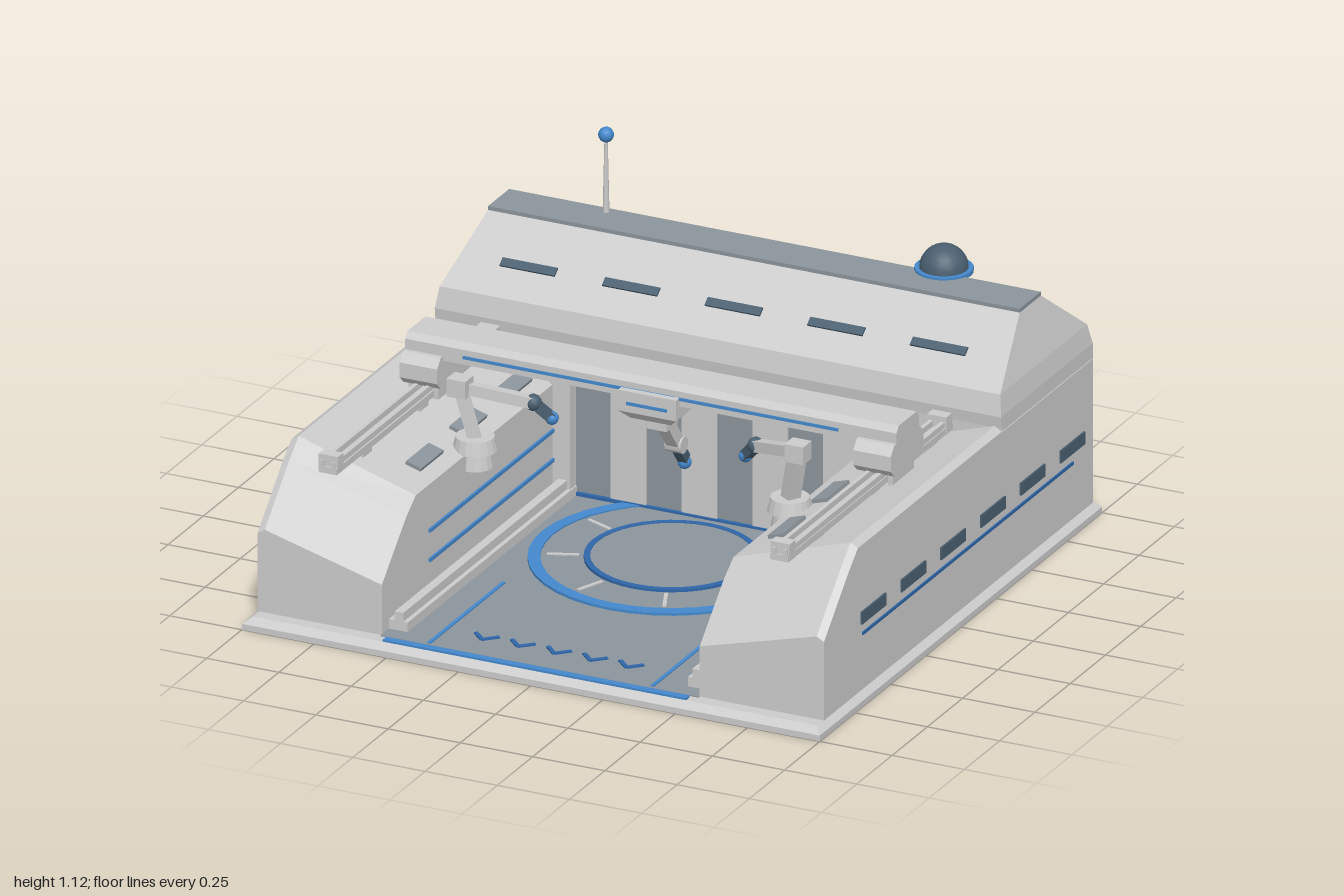
import * as THREE from 'three';

const mat = (color, extra = {}) => new THREE.MeshStandardMaterial({ color, ...extra });
const GREY = mat(0xcccccc, { flatShading: true });
const SMOOTH = mat(0xcccccc);
const FLOOR = mat(0x8c959c);
const DARK = mat(0x4a5f70);
const BLUE = mat(0x4488cc);
const NAVY = mat(0x2f66a8);

export function createModel() {
  const root = new THREE.Group();

  function add(name, geometry, material, x = 0, y = 0, z = 0, parent = root) {
    const mesh = new THREE.Mesh(geometry, material);
    mesh.name = name;
    mesh.position.set(x, y, z);
    parent.add(mesh);
    return mesh;
  }
  // Box given by its min and max on each axis
  function box(name, material, x0, x1, y0, y1, z0, z1, parent = root) {
    return add(name, new THREE.BoxGeometry(Math.abs(x1 - x0), y1 - y0, z1 - z0), material,
      (x0 + x1) / 2, (y0 + y1) / 2, (z0 + z1) / 2, parent);
  }
  // Faceted solid through matching cross-sections, capped at both ends
  function loft(name, rings, material = GREY) {
    const pos = [];
    const tri = (...pts) => pts.forEach((p) => pos.push(...p));
    const n = rings[0].length;
    for (let i = 0; i < rings.length - 1; i++) {
      for (let j = 0; j < n; j++) {
        const k = (j + 1) % n;
        tri(rings[i][j], rings[i][k], rings[i + 1][k]);
        tri(rings[i][j], rings[i + 1][k], rings[i + 1][j]);
      }
    }
    const first = rings[0], last = rings[rings.length - 1];
    for (let j = 1; j < n - 1; j++) {
      tri(first[0], first[j + 1], first[j]);
      tri(last[0], last[j], last[j + 1]);
    }
    const g = new THREE.BufferGeometry();
    g.setAttribute('position', new THREE.Float32BufferAttribute(pos, 3));
    g.computeVertexNormals();
    return add(name, g, material);
  }
  // Horizontal rectangle used as a loft section
  const rect = (y, x, zf, zb) => [[x, y, zf], [x, y, zb], [-x, y, zb], [-x, y, zf]];
  // Square bar between two points
  function link(name, a, b, w, material, parent = root) {
    const p = new THREE.Vector3(...a), q = new THREE.Vector3(...b);
    const mesh = add(name, new THREE.BoxGeometry(w, w, p.distanceTo(q)), material, 0, 0, 0, parent);
    mesh.position.copy(p).lerp(q, 0.5);
    mesh.lookAt(q);
    return mesh;
  }
  // Flat ring lying on the floor
  function floorRing(name, inner, outer, y0, y1, material) {
    const s = new THREE.Shape().absarc(0, 0, outer, 0, Math.PI * 2);
    if (inner) s.holes.push(new THREE.Path().absarc(0, 0, inner, 0, Math.PI * 2, true));
    const g = new THREE.ExtrudeGeometry(s, { depth: y1 - y0, bevelEnabled: false, curveSegments: 20 });
    return add(name, g.rotateX(-Math.PI / 2), material, 0, y0, 0);
  }

  // Base slab and bay floor
  loft('baseSlab', [rect(0, 1, 1, -1), rect(0.02, 1, 1, -1), rect(0.04, 0.975, 0.975, -0.985)]);
  box('bayFloor', FLOOR, -0.55, 0.55, 0.03, 0.043, -0.33, 0.94);
  box('thresholdStrip', BLUE, -0.525, 0.525, 0.03, 0.047, 0.95, 0.975);

  // Turntable with coloured rings and radial marks
  floorRing('turntableBed', 0, 0.41, 0.04, 0.047, FLOOR);
  floorRing('outerRing', 0.41, 0.45, 0.04, 0.052, BLUE);
  floorRing('innerRing', 0.255, 0.275, 0.04, 0.056, NAVY);
  floorRing('turntable', 0, 0.255, 0.04, 0.054, FLOOR);
  for (let i = 0; i < 8; i++) {
    const a = Math.PI / 8 + i * Math.PI / 4;
    if (Math.sin(a) * 0.34 < -0.3) continue;
    add('radialMark', new THREE.BoxGeometry(0.1, 0.006, 0.012), SMOOTH,
      Math.cos(a) * 0.34, 0.048, Math.sin(a) * 0.34).rotation.y = -a;
  }
  // Approach chevrons
  for (let i = -2; i <= 2; i++) {
    for (const s of [-1, 1]) {
      add('chevron', new THREE.BoxGeometry(0.058, 0.006, 0.014), NAVY,
        i * 0.125 + s * 0.02, 0.045, 0.815).rotation.y = s * 0.78;
    }
  }

  // Rear hall with sloped roof
  loft('rearHall', [rect(0.04, 0.98, -0.33, -0.975), rect(0.54, 0.98, -0.33, -0.975),
    rect(0.58, 0.98, -0.325, -0.975), rect(0.65, 0.97, -0.34, -0.955), rect(0.825, 0.92, -0.58, -0.73)]);
  box('roofCap', FLOOR, -0.92, 0.92, 0.815, 0.838, -0.73, -0.58);
  box('hallSeam', GREY, -0.983, 0.983, 0.52, 0.53, -0.965, -0.33);
  for (const x of [-0.71, -0.355, 0, 0.355, 0.71]) {
    add('roofWindow', new THREE.BoxGeometry(0.19, 0.012, 0.03), DARK, x, 0.724, -0.44).rotation.x = 0.63;
  }

  // Shutter panels of the hall front
  for (let i = 0; i < 8; i++) {
    const x = -0.49 + i * 0.1225;
    box('shutterPanel', i % 2 ? SMOOTH : FLOOR, x, x + 0.1225, 0.04, 0.46, -0.34, i % 2 ? -0.318 : -0.324);
  }
  box('lintelLight', BLUE, -0.49, 0.49, 0.46, 0.482, -0.34, -0.31);
  box('shutterSill', NAVY, -0.49, 0.49, 0.043, 0.054, -0.34, -0.312);

  // Antenna and dome on the roof
  add('antennaMast', new THREE.CylinderGeometry(0.005, 0.011, 0.27, 10), SMOOTH, -0.57, 0.965, -0.7);
  add('antennaTip', new THREE.SphereGeometry(0.025, 14, 10), BLUE, -0.57, 1.1, -0.7);
  add('dome', new THREE.SphereGeometry(0.078, 20, 14), DARK, 0.57, 0.842, -0.76);
  add('domeCollar', new THREE.CylinderGeometry(0.093, 0.093, 0.014, 24), BLUE, 0.57, 0.838, -0.76);

  // Left and right wings, mirrored
  for (const s of [-1, 1]) {
    const section = (z, outer, inner) => {
      const pts = [[0.55, 0.04], [0.98, 0.04], [0.98, outer - 0.015], [0.955, outer], [0.55, inner]]
        .map(([x, y]) => [s * x, y, z]);
      return s > 0 ? pts : pts.reverse();
    };
    loft('sideWing', [section(-0.4, 0.545, 0.42), section(0.69, 0.545, 0.42),
      section(0.76, 0.485, 0.37), section(0.93, 0.32, 0.21)]);

    // Outer wall windows and trim
    for (let i = 0; i < 6; i++) {
      const z = 0.585 - i * 0.282;
      box('sideWindow', DARK, s * 0.97, s * 0.986, 0.265, 0.307, z - 0.086, z + 0.086);
    }
    box('sideTrim', NAVY, s * 0.97, s * 0.985, 0.226, 0.236, -0.83, 0.66);

    // Hatches on the sloping wing top
    for (const z of [-0.16, 0.16, 0.47]) {
      add('topHatch', new THREE.BoxGeometry(0.055, 0.02, 0.16), FLOOR, s * 0.628, 0.446, z).rotation.z = s * 0.3;
    }

    // Inner wall: light lines, floor guide and door jamb
    for (const y of [0.16, 0.26]) box('innerLight', BLUE, s * 0.543, s * 0.56, y, y + 0.012, -0.3, 0.6);
    box('floorGuide', GREY, s * 0.485, s * 0.55, 0.04, 0.075, -0.32, 0.88);
    box('floorGuideRib', GREY, s * 0.5, s * 0.53, 0.07, 0.105, -0.32, 0.88);
    box('doorJamb', GREY, s * 0.49, s * 0.56, 0.04, 0.44, -0.34, -0.28);
    box('laneLine', BLUE, s * 0.38, s * 0.392, 0.04, 0.047, 0.4, 0.93);

    // Gantry rail with end stops
    box('railBed', GREY, s * 0.75, s * 0.812, 0.508, 0.53, -0.33, 0.84);
    for (const x of [0.755, 0.795]) box('railBar', GREY, s * x, s * (x + 0.014), 0.52, 0.55, -0.33, 0.84);
    for (const z of [-0.295, 0.815]) box('railStop', GREY, s * 0.748, s * 0.815, 0.51, 0.568, z - 0.02, z + 0.02);
    for (const z of [-0.2, 0.2, 0.6]) box('railFoot', GREY, s * 0.76, s * 0.805, 0.45, 0.515, z - 0.03, z + 0.03);

    // Carriage riding on the rail
    const c = new THREE.Shape([[-0.04, 0.57], [-0.015, 0.545], [0.165, 0.545], [0.19, 0.57],
      [0.19, 0.62], [0.165, 0.65], [-0.015, 0.65], [-0.04, 0.62]].map(([z, y]) => new THREE.Vector2(-z, y)));
    const cg = new THREE.ExtrudeGeometry(c, { depth: 0.13, bevelEnabled: false }).rotateY(Math.PI / 2);
    add('carriage', cg, GREY, s * 0.785 - 0.065, 0, 0);
    for (const x of [0.735, 0.82]) box('carriageSkirt', GREY, s * x, s * (x + 0.018), 0.5, 0.56, 0, 0.15);

    // Service arm standing on the wing edge
    const arm = new THREE.Group();
    arm.name = 'serviceArm';
    root.add(arm);
    const shoulder = [s * 0.585, 0.635, 0.305], elbow = [s * 0.385, 0.575, 0.195], tip = [s * 0.335, 0.52, 0.165];
    add('armPedestal', new THREE.CylinderGeometry(0.05, 0.06, 0.06, 16), GREY, s * 0.545, 0.395, 0.28, arm);
    add('armBase', new THREE.CylinderGeometry(0.062, 0.072, 0.045, 18), GREY, s * 0.545, 0.443, 0.28, arm);
    link('lowerArm', [s * 0.545, 0.45, 0.28], shoulder, 0.045, GREY, arm);
    add('shoulderJoint', new THREE.BoxGeometry(0.065, 0.06, 0.06), GREY, ...shoulder, arm);
    link('upperArm', shoulder, elbow, 0.036, GREY, arm);
    add('elbowJoint', new THREE.SphereGeometry(0.027, 12, 8), DARK, ...elbow, arm);
    link('toolHead', elbow, tip, 0.032, DARK, arm);
    add('toolTip', new THREE.SphereGeometry(0.022, 12, 8), BLUE, ...tip, arm);
  }

  // Gantry beam with chamfered section
  const beam = new THREE.Shape([[-0.01, 0.635], [0.15, 0.635], [0.15, 0.685], [0.133, 0.705],
    [0.007, 0.705], [-0.01, 0.685]].map(([z, y]) => new THREE.Vector2(-z, y)));
  add('gantryBeam', new THREE.ExtrudeGeometry(beam, { depth: 1.7, bevelEnabled: false })
    .rotateY(Math.PI / 2), GREY, -0.85, 0, 0);
  box('beamLight', BLUE, -0.65, 0.65, 0.655, 0.665, -0.014, 0.154);

  // Central trolley and hanging tool
  loft('trolley', [rect(0.565, 0.07, 0.15, -0.01), rect(0.595, 0.1, 0.178, -0.035), rect(0.665, 0.1, 0.178, -0.035)]);
  box('trolleyLight', BLUE, -0.07, 0.07, 0.62, 0.63, 0.17, 0.182);
  box('trolleyMount', GREY, -0.035, 0.035, 0.52, 0.57, 0.03, 0.11);
  link('hangingArm', [0, 0.55, 0.07], [0, 0.42, -0.03], 0.042, GREY);
  add('hangingJoint', new THREE.CylinderGeometry(0.028, 0.028, 0.055, 14).rotateZ(Math.PI / 2), GREY, 0, 0.42, -0.03);
  link('hangingWrist', [0, 0.42, -0.03], [0, 0.35, -0.085], 0.032, DARK);
  add('hangingTip', new THREE.SphereGeometry(0.022, 12, 8), BLUE, 0, 0.335, -0.09);

  return root;
}
